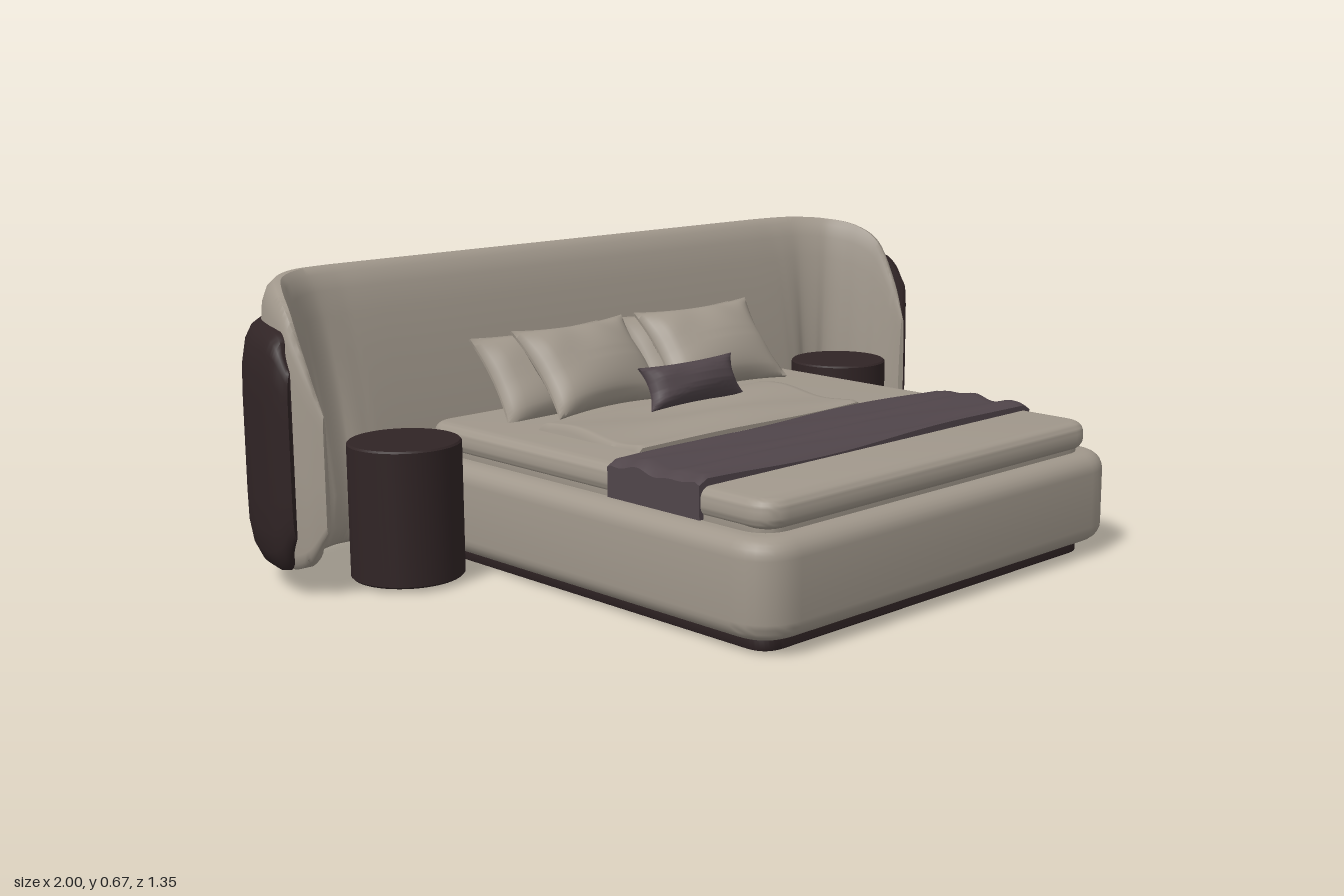
import * as THREE from 'three';
import { mergeVertices, toCreasedNormals } from 'three/addons/utils/BufferGeometryUtils.js';

const material = (name, color) => Object.assign(new THREE.MeshStandardMaterial({ color }), { name });
const linen = material('taupe linen', 0xa0978b);
const dark = material('dark brown', 0x302425);
const mauve = material('mauve cloth', 0x50454a);

function part(name, geometry, mat, x = 0, y = 0, z = 0) {
  const mesh = new THREE.Mesh(geometry, mat);
  mesh.name = name;
  mesh.position.set(x, y, z);
  return mesh;
}

// Slab with rounded plan corners and rounded edges, spanning y0..y1 and z0..z1
function slab(w, y0, y1, z0, z1, r, bevel) {
  const x = w / 2 - bevel, d = (z1 - z0) / 2 - bevel, s = new THREE.Shape();
  s.moveTo(-x + r, -d).lineTo(x - r, -d).quadraticCurveTo(x, -d, x, -d + r);
  s.lineTo(x, d - r).quadraticCurveTo(x, d, x - r, d);
  s.lineTo(-x + r, d).quadraticCurveTo(-x, d, -x, d - r);
  s.lineTo(-x, -d + r).quadraticCurveTo(-x, -d, -x + r, -d);
  const g = new THREE.ExtrudeGeometry(s, {
    depth: y1 - y0 - 2 * bevel, bevelSize: bevel, bevelThickness: bevel, bevelSegments: 6, curveSegments: 8,
  });
  g.rotateX(-Math.PI / 2).translate(0, y0 + bevel, (z0 + z1) / 2);
  return toCreasedNormals(g, 0.7);
}

// Sweep a closed profile [depth, height] along mirrored stations [x, z, thickness, bottom, top]
function curvedPanel(half, profile) {
  const mirrored = half.slice(1).reverse().map(([x, ...rest]) => [-x, ...rest]);
  const stations = [...mirrored, ...half];
  const curve = (f) => new THREE.CatmullRomCurve3(stations.map(f), false, 'catmullrom', 0.5);
  const plan = curve(([x, z, t]) => new THREE.Vector3(x, t, z));
  const heights = curve(([, , , a, b]) => new THREE.Vector3(a, b, 0));
  const n = (stations.length - 1) * 6, m = profile.length, pos = [], index = [];
  for (let i = 0; i <= n; i++) {
    const u = i / n, p = plan.getPoint(u), h = heights.getPoint(u);
    const a = plan.getPoint(Math.max(0, u - 0.002)), b = plan.getPoint(Math.min(1, u + 0.002));
    const inward = new THREE.Vector3(-(b.z - a.z), 0, b.x - a.x).normalize();
    for (const [d, v] of profile) {
      pos.push(p.x + inward.x * d * p.y, h.x + (h.y - h.x) * v, p.z + inward.z * d * p.y);
    }
    if (i === n) continue;
    for (let j = 0; j < m; j++) {
      const k = (j + 1) % m, q = i * m;
      index.push(q + j, q + k, q + m + j, q + k, q + m + k, q + m + j);
    }
  }
  // end caps
  for (let j = 1; j < m - 1; j++) {
    index.push(0, j + 1, j, n * m, n * m + j, n * m + j + 1);
  }
  const g = new THREE.BufferGeometry();
  g.setAttribute('position', new THREE.Float32BufferAttribute(pos, 3));
  g.setIndex(index);
  return toCreasedNormals(g, 0.8);
}

// Move every vertex by a rule, then weld and smooth
function deform(g, rule, crease = 1) {
  g.deleteAttribute('uv');
  g.deleteAttribute('normal');
  g = mergeVertices(g);
  const p = g.attributes.position, v = new THREE.Vector3();
  for (let i = 0; i < p.count; i++) {
    rule(v.fromBufferAttribute(p, i));
    p.setXYZ(i, v.x, v.y, v.z);
  }
  return toCreasedNormals(g, crease);
}

// Cushion with drawn-out corners, a thin flange and soft creases
function cushion(w, h, t, pinch) {
  return deform(new THREE.BoxGeometry(2, 2, 2, 24, 24, 1), (v) => {
    const { x, y } = v, f = (a) => Math.max(0, 1 - (a / 0.94) ** 2);
    const puff = Math.pow(f(x) * f(y), 0.42);
    const crease = 0.05 * Math.sin(7 * x * y + 3 * x) * puff;
    v.set(
      (w / 2) * x * (1 - pinch * (1 - y * y)),
      (h / 2) * y * (1 - pinch * (1 - x * x)),
      Math.sign(v.z) * (0.003 + (t / 2) * (puff + crease)),
    );
  }, 1.2);
}

// Cloth laid flat with ripples on its upper side
function cloth(w, h, d, ripple) {
  return deform(new THREE.BoxGeometry(w, h, d, 48, 1, 24), (v) => {
    if (v.y < 0) return;
    v.y += ripple(v.x, v.z);
    if (Math.abs(v.x) > w / 2 - 0.001) v.y -= 0.012;
    if (Math.abs(v.z) > d / 2 - 0.001) v.y -= 0.005;
  });
}

function createHeadboard() {
  const group = new THREE.Group();
  group.name = 'headboard';
  group.add(part('headboardPadding', curvedPanel([
    [0, -0.637, 0.205, 0.05, 0.665], [0.35, -0.637, 0.205, 0.05, 0.665],
    [0.6, -0.637, 0.205, 0.05, 0.665], [0.72, -0.632, 0.2, 0.05, 0.665],
    [0.82, -0.6, 0.175, 0.05, 0.665], [0.9, -0.53, 0.14, 0.05, 0.66],
    [0.942, -0.44, 0.1, 0.05, 0.645], [0.958, -0.36, 0.07, 0.055, 0.6],
    [0.95, -0.3, 0.045, 0.085, 0.5], [0.932, -0.258, 0.015, 0.15, 0.4],
  ], [
    [0.05, 0.02], [0, 0.06], [0, 0.4], [0, 0.82], [0.04, 0.92], [0.12, 0.97], [0.24, 0.997], [0.36, 1],
    [0.46, 0.975], [0.55, 0.92], [0.64, 0.83], [0.74, 0.7], [0.85, 0.53], [0.94, 0.36],
    [1, 0.2], [0.98, 0.08], [0.9, 0.02], [0.75, 0], [0.2, 0],
  ]), linen));
  group.add(part('headboardShell', curvedPanel([
    [0, -0.675, 0.06, 0.04, 0.575], [0.35, -0.675, 0.06, 0.04, 0.575],
    [0.6, -0.675, 0.06, 0.04, 0.575], [0.72, -0.67, 0.06, 0.04, 0.575],
    [0.83, -0.642, 0.06, 0.04, 0.575], [0.92, -0.575, 0.06, 0.04, 0.575],
    [0.975, -0.485, 0.06, 0.045, 0.575], [0.998, -0.39, 0.05, 0.05, 0.57],
    [1, -0.335, 0.038, 0.075, 0.55], [0.988, -0.298, 0.012, 0.14, 0.49],
  ], [
    [1, 0], [0.7, 0.005], [0.4, 0.03], [0.15, 0.09], [0.02, 0.18], [0, 0.3], [0, 0.7],
    [0.03, 0.82], [0.18, 0.92], [0.4, 0.97], [0.7, 0.995], [1, 1],
  ]), dark));
  return group;
}

export function createModel() {
  const model = new THREE.Group();
  model.name = 'bed';

  // base, frame and mattress
  model.add(part('plinth', slab(1.06, 0, 0.045, -0.47, 0.62, 0.05, 0.004), dark));
  model.add(part('bedFrame', slab(1.165, 0.03, 0.236, -0.5, 0.672, 0.06, 0.04), linen));
  model.add(part('mattress', slab(1.06, 0.2, 0.285, -0.47, 0.62, 0.05, 0.02), linen));
  model.add(part('coverlet', slab(1.075, 0.242, 0.304, -0.45, 0.632, 0.04, 0.024), linen));

  // folded duvet and foot runner
  model.add(part('foldedDuvet', cloth(0.72, 0.02, 0.33, (x, z) =>
    0.005 * Math.sin(9 * x + 14 * z) + 0.004 * Math.sin(26 * z - 8 * x)), linen, -0.06, 0.308, -0.025));
  model.add(part('footRunner', cloth(1.082, 0.082, 0.27, (x, z) =>
    0.004 * Math.sin(40 * z + 5 * x) + 0.003 * Math.sin(70 * z - 9 * x)), mauve, 0, 0.279, 0.315));

  // headboard
  model.add(createHeadboard());

  // pillows and bedside drums, one set per side
  const drum = [[0, 0.01], [0.12, 0.01], [0.124, 0.014], [0.124, 0.306], [0.12, 0.31], [0, 0.31]]
    .map(([x, y]) => new THREE.Vector2(x, y));
  for (const [side, s] of [['left', 1], ['right', -1]]) {
    const back = part(`${side}BackPillow`, cushion(0.39, 0.23, 0.09, 0.07), linen, s * 0.225, 0.388, -0.36);
    back.rotation.set(-0.65, 0, 0);
    const front = part(`${side}FrontPillow`, cushion(0.36, 0.24, 0.11, 0.09), linen, s * 0.195, 0.412, -0.262);
    front.rotation.set(-0.72, s * -0.06, s * -0.04);
    const table = toCreasedNormals(new THREE.LatheGeometry(drum, 48), 0.5);
    model.add(back, front, part(`${side}Nightstand`, table, dark, s * 0.705, 0, -0.295));
  }
  const lumbar = part('lumbarCushion', cushion(0.3, 0.105, 0.085, 0.1), mauve, 0, 0.365, -0.128);
  lumbar.rotation.x = -0.45;
  model.add(lumbar);

  return model;
}
